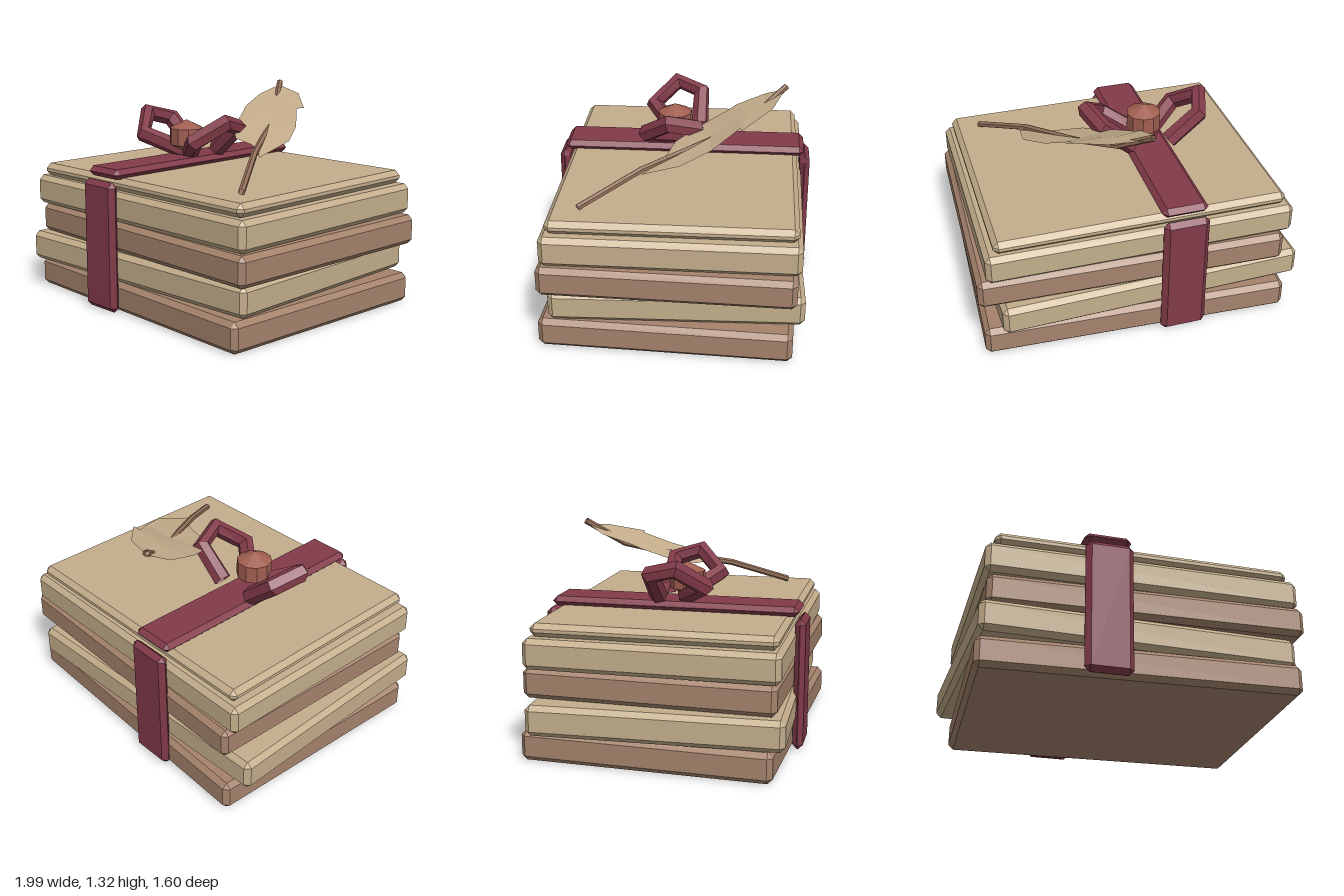
import * as THREE from 'three';
import { ConvexGeometry } from 'three/addons/geometries/ConvexGeometry.js';

const mat = (name, color, side = THREE.FrontSide) =>
  Object.assign(new THREE.MeshStandardMaterial({ color, flatShading: true, side }), { name });

// Straight-segment path whose samples land exactly on its corners
class Polyline extends THREE.Curve {
  constructor(points) {
    super();
    this.points = points.map(p => new THREE.Vector3(...p));
  }
  getPoint(t, target = new THREE.Vector3()) {
    const n = this.points.length - 1;
    const i = Math.min(Math.floor(t * n + 1e-6), n - 1);
    return target.lerpVectors(this.points[i], this.points[i + 1], t * n - i);
  }
  getPointAt(t, target) { return this.getPoint(t, target); }
  getTangentAt(t, target) { return this.getTangent(t, target); }
}

// Box with every edge and corner cut off
function chamferBox(w, h, d, c) {
  const pts = [];
  for (const sx of [-1, 1]) for (const sy of [-1, 1]) for (const sz of [-1, 1]) {
    for (let axis = 0; axis < 3; axis++) {
      const inset = [0, 1, 2].map(k => (k === axis ? 0 : c));
      pts.push(new THREE.Vector3(sx * (w / 2 - inset[0]), sy * (h / 2 - inset[1]), sz * (d / 2 - inset[2])));
    }
  }
  return new ConvexGeometry(pts);
}

export function createModel() {
  const model = new THREE.Group();
  model.name = 'tiedBundle';
  const tan = mat('parchment tan', 0xc4ae8c);
  const brown = mat('leather brown', 0xa5836c);
  const red = mat('ribbon red', 0x823a49, THREE.DoubleSide);
  const knotRed = mat('knot clay red', 0xa05e50);
  const vaneTan = mat('feather tan', 0xc8b08e, THREE.DoubleSide);
  const quillBrown = mat('quill brown', 0x94705a, THREE.DoubleSide);

  const add = (name, geometry, material, x = 0, y = 0, z = 0) => {
    const m = new THREE.Mesh(geometry, material);
    m.name = name;
    m.position.set(x, y, z);
    model.add(m);
    return m;
  };

  // Stacked slabs: material, width, height, depth, x, base height, yaw
  [
    [brown, 1.872, 0.183, 1.49, 0.005, 0, -0.043],
    [tan, 1.866, 0.183, 1.49, -0.045, 0.186, 0.03],
    [brown, 1.866, 0.183, 1.49, 0.04, 0.372, -0.03],
    [tan, 1.866, 0.183, 1.49, 0.003, 0.557, -0.006],
    [tan, 1.766, 0.08, 1.435, 0.003, 0.741, 0],
  ].forEach(([material, w, h, d, x, y, yaw], i) => {
    add(`slab${i + 1}`, chamferBox(w, h, d, 0.03), material, x, y + h / 2).rotation.y = yaw;
  });

  // Ribbon straps
  const bowX = -0.235;
  add('topStrap', chamferBox(0.28, 0.06, 1.52, 0.029), red, bowX, 0.845);
  for (const [name, s] of [['frontStrap', 1], ['backStrap', -1]])
    add(name, chamferBox(0.28, 0.8, 0.064, 0.03), red, bowX, 0.402, s * 0.768);

  // Bow loops, mirrored about the strap
  for (const [name, s] of [['bowLoopLeft', 1], ['bowLoopRight', -1]]) {
    const path = new Polyline([
      [0.03, 0.9, 0.06], [0.24, 1.0, 0.22], [0.365, 1.115, 0.075],
      [0.31, 1.07, -0.085], [0.12, 0.91, -0.085],
    ].map(([x, y, z]) => [s * x, y, z]));
    add(name, new THREE.TubeGeometry(path, 4, 0.056, 6), red, bowX);
  }

  // Knot
  add('knot', new THREE.SphereGeometry(1, 10, 3), knotRed, bowX, 0.997, 0.065).scale.set(0.125, 0.105, 0.125);

  // Feather shaft
  const shaft = new Polyline([
    [0.725, 0.84, 0.545], [0.49, 0.98, 0.2], [0.25, 1.07, -0.18], [0.08, 1.15, -0.42], [-0.065, 1.305, -0.63],
  ]);
  add('featherShaft', new THREE.TubeGeometry(shaft, 4, 0.02, 6), quillBrown);

  // Feather vane: rows of [x, z] for left edge, spine and right edge, raised by a bent profile
  const bend = [[-0.62, 1.285], [-0.5, 1.23], [-0.37, 1.19], [-0.18, 1.088], [0, 1.03], [0.2, 0.965]];
  const heightAt = z => {
    let i = 0;
    while (i < bend.length - 2 && z > bend[i + 1][0]) i++;
    const [[z0, y0], [z1, y1]] = [bend[i], bend[i + 1]];
    return y0 + (y1 - y0) * (z - z0) / (z1 - z0);
  };
  const rows = [
    [[-0.065, -0.62], [-0.06, -0.62], [-0.04, -0.615]],
    [[-0.125, -0.5], [0.023, -0.5], [0.17, -0.55]],
    [[-0.09, -0.33], [0.09, -0.4], [0.375, -0.37]],
    [[-0.06, -0.27], [0.14, -0.33], [0.315, -0.37]],
    [[0.03, -0.1], [0.24, -0.18], [0.46, -0.2]],
    [[0.17, 0.03], [0.36, 0], [0.555, -0.03]],
    [[0.34, 0.07], [0.445, 0.12], [0.53, 0.2]],
  ];
  const index = [];
  for (let r = 0; r < rows.length - 1; r++) for (let k = 0; k < 2; k++) {
    const a = r * 3 + k, b = a + 3;
    index.push(a, b, a + 1, a + 1, b, b + 1);
  }
  const vane = new THREE.BufferGeometry();
  vane.setAttribute('position', new THREE.Float32BufferAttribute(
    rows.flat().flatMap(([x, z]) => [x, heightAt(z), z]), 3));
  vane.setIndex(index);
  vane.computeVertexNormals();
  add('featherVane', vane, vaneTan);

  return model;
}
